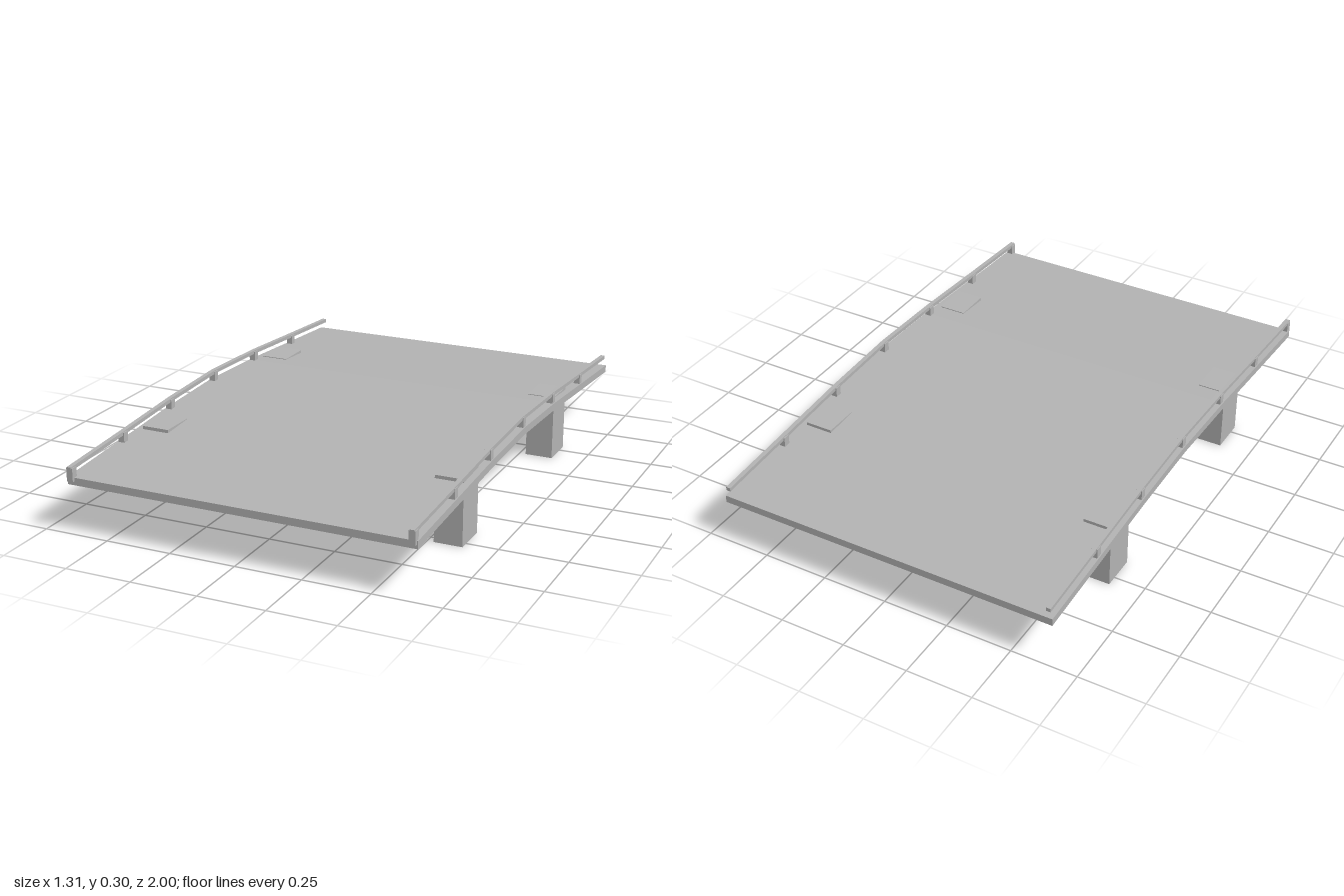
import * as THREE from 'three';

// Arched line shared by deck and rails: [z, drop below the crown]
const ARCH = [
  [0.985, 0.055], [0.654, 0.034], [0.323, 0.012], [-0.008, 0],
  [-0.339, 0.012], [-0.67, 0.034], [-1, 0.055],
];

export function createModel() {
  const bridge = new THREE.Group();
  bridge.name = 'bridge';
  const concrete = new THREE.MeshStandardMaterial({ color: 0xb4b4b4 });
  concrete.name = 'concreteGrey';

  function add(name, geometry) {
    const mesh = new THREE.Mesh(geometry, concrete);
    mesh.name = name;
    bridge.add(mesh);
  }

  // Box given by its minimum and maximum corners
  function addBox(name, [x0, y0, z0], [x1, y1, z1]) {
    const g = new THREE.BoxGeometry(x1 - x0, y1 - y0, z1 - z0);
    g.translate((x0 + x1) / 2, (y0 + y1) / 2, (z0 + z1) / 2);
    add(name, g);
  }

  // Strip that follows the arch, extruded from x0 to x1
  function addArch(name, x0, x1, crown, thickness, frontZ) {
    const top = ARCH.map(([z, drop], i) => new THREE.Vector2(i ? z : frontZ, crown - drop));
    const bottom = top.map((p) => new THREE.Vector2(p.x, p.y - thickness)).reverse();
    const g = new THREE.ExtrudeGeometry(new THREE.Shape([...top, ...bottom]), {
      depth: x1 - x0, bevelEnabled: false,
    });
    g.rotateY(-Math.PI / 2);
    g.translate(x1, 0, 0);
    add(name, g);
  }

  // Road deck
  addArch('deck', -0.656, 0.656, 0.263, 0.028, 0.987);

  for (const side of [-1, 1]) {
    const label = side > 0 ? 'left' : 'right';
    const span = (a, b) => (side > 0 ? [a, b] : [-b, -a]);

    // Handrail
    const [r0, r1] = span(0.632, 0.649);
    addArch(label + 'Handrail', r0, r1, 0.304, 0.014, 1);

    // Rail posts; the far end has none
    const [p0, p1] = span(0.628, 0.652);
    ARCH.slice(0, 6).forEach(([z, drop], i) => {
      addBox(`${label}Post${i + 1}`, [p0, 0.25 - drop, z - 0.013], [p1, 0.3 - drop, z + 0.013]);
    });

    // Piers, whose tops come just through the deck
    const [x0, x1] = span(0.525, 0.631);
    addBox(label + 'FrontPier', [x0, 0, 0.397], [x1, 0.249, 0.535]);
    addBox(label + 'BackPier', [x0, 0, -0.541], [x1, 0.249, -0.403]);
  }
  return bridge;
}
